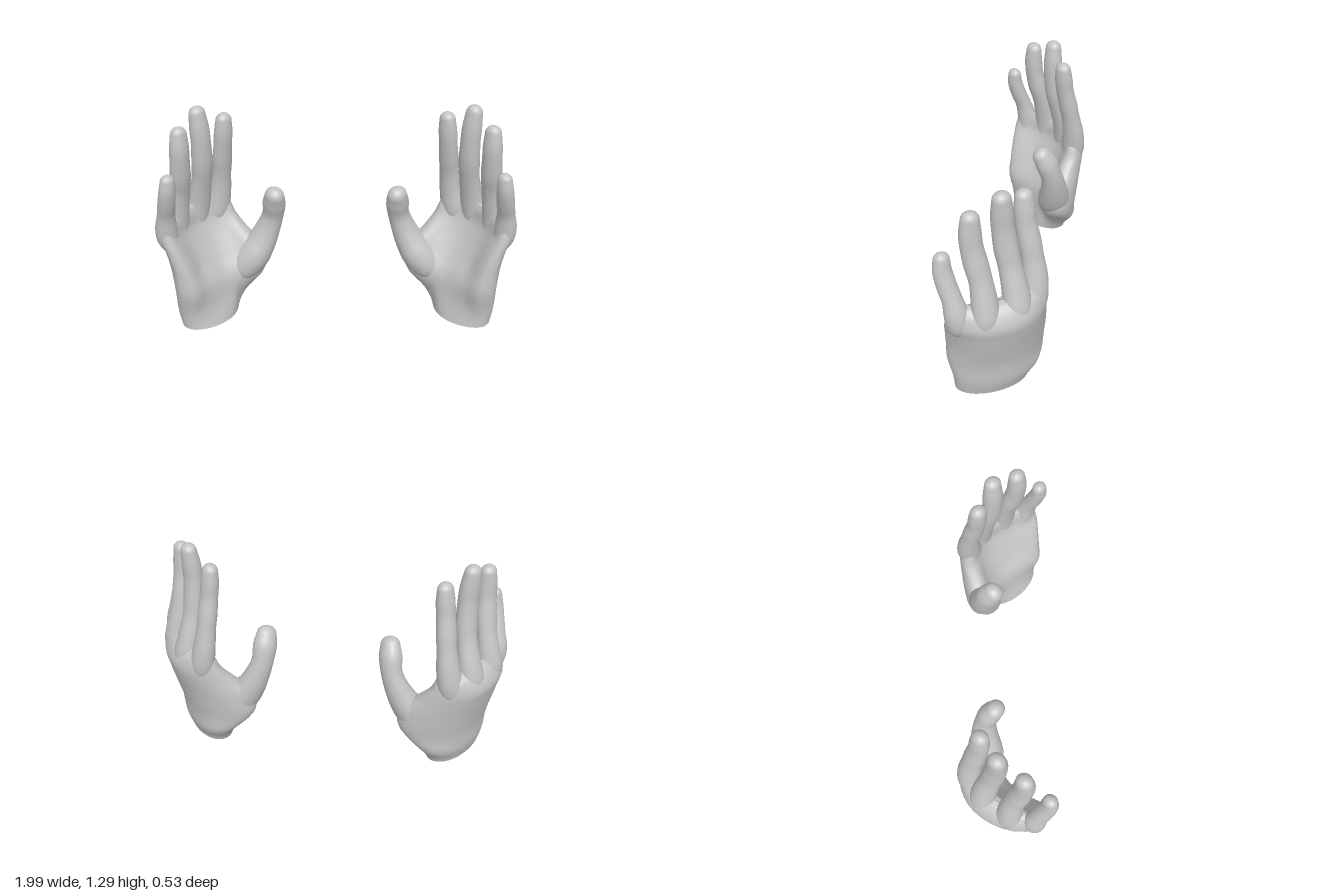
import * as THREE from 'three';

const skin = new THREE.MeshStandardMaterial({ color: 0xc4c4c4, side: THREE.DoubleSide });
skin.name = 'plain grey';

const V = (x, y, z) => new THREE.Vector3(x, y, z);

function center(ring) {
  return ring.reduce((s, p) => s.add(p), V(0, 0, 0)).divideScalar(ring.length);
}

// Skin closed rings of points into a smooth surface, closed by a point at the end.
function loft(name, rings, tip, side, hollow = false) {
  const n = rings[0].length;
  const pts = [...rings.flat(), tip];
  const last = pts.length - 1;
  const index = [];
  for (let i = 0; i < rings.length; i++) {
    for (let j = 0; j < n; j++) {
      const a = i * n + j, b = i * n + (j + 1) % n;
      if (i < rings.length - 1) index.push(a, b, a + n, b, b + n, a + n);
      else index.push(a, b, last);
    }
  }
  // Turn all faces outward (or inward for a hollow), whichever way the rings run
  const c = center(rings[0]);
  let volume = 0;
  for (let i = 0; i < index.length; i += 3) {
    const [a, b, d] = [0, 1, 2].map(k => pts[index[i + k]].clone().sub(c));
    volume += a.dot(b.cross(d));
  }
  if ((volume * side < 0) !== hollow) index.reverse();
  const geo = new THREE.BufferGeometry();
  geo.setAttribute('position', new THREE.Float32BufferAttribute(
    pts.flatMap(p => [p.x * side, p.y, p.z]), 3));
  geo.setIndex(index);
  geo.computeVertexNormals();
  const mesh = new THREE.Mesh(geo, skin);
  mesh.name = name;
  return mesh;
}

// A digit follows a centre line of [x, y, z, radius] and ends in a rounded tip.
// It is a little wider along the given direction.
function digit(name, line, wide, side) {
  const path = new THREE.CatmullRomCurve3(line.map(p => V(p[0], p[1], p[2])), false, 'catmullrom');
  const radii = new THREE.CatmullRomCurve3(line.map(p => V(p[3], 0, 0)), false, 'catmullrom');
  const rings = [];
  const ring = (mid, dir, r) => {
    const across = wide.clone().addScaledVector(dir, -dir.dot(wide)).normalize();
    const depth = dir.clone().cross(across);
    rings.push(Array.from({ length: 20 }, (_, j) => {
      const a = j / 20 * Math.PI * 2;
      return mid.clone().addScaledVector(across, 1.12 * r * Math.cos(a))
        .addScaledVector(depth, r * Math.sin(a));
    }));
  };
  const steps = 30;
  for (let i = 0; i <= steps; i++) {
    const t = i / steps;
    ring(path.getPoint(t), path.getTangent(t), radii.getPoint(t).x);
  }
  const end = path.getPoint(1), dir = path.getTangent(1), r = radii.getPoint(1).x;
  for (let i = 1; i < 6; i++) {
    const a = i / 6 * Math.PI / 2;
    ring(end.clone().addScaledVector(dir, r * Math.sin(a)), dir, r * Math.cos(a));
  }
  return loft(name, rings, end.clone().addScaledVector(dir, r), side);
}

// Palm levels: height, half thickness, then the [x, z] spine from little-finger edge to thumb edge.
const palmLevels = [
  [0.00, 0.120, [[.862, .205], [.80, .115], [.74, .03], [.685, -.055], [.625, -.14]]],
  [0.12, 0.120, [[.86, .215], [.805, .085], [.73, -.03], [.635, -.11], [.535, -.135]]],
  [0.26, 0.115, [[.84, .245], [.815, .075], [.71, -.075], [.57, -.122], [.42, -.105]]],
  [0.38, 0.096, [[.85, .24], [.852, .05], [.745, -.10], [.60, -.15], [.425, -.115]]],
  [0.50, 0.080, [[.89, .23], [.89, .04], [.79, -.12], [.665, -.175], [.53, -.155]]],
  [0.58, 0.071, [[.925, .22], [.913, .04], [.82, -.12], [.705, -.185], [.59, -.185]]],
  [0.65, 0.054, [[.94, .20], [.905, .04], [.81, -.115], [.71, -.185], [.62, -.19]]],
  [0.69, 0.028, [[.935, .17], [.89, .03], [.80, -.10], [.71, -.175], [.66, -.18]]],
];

function palm(side) {
  const n = 44;
  // One outline per level, walking round the spine; oval at the wrist and blunter above
  const outlines = palmLevels.map(([y, half, spine]) => {
    const curve = new THREE.CatmullRomCurve3(spine.map(([x, z]) => V(x, y, z)));
    const blunt = Math.max(0.68, 1 - 1.5 * y);
    return Array.from({ length: n }, (_, j) => {
      const a = j / n * Math.PI * 2;
      const t = (1 - Math.cos(a)) / 2;
      const d = curve.getTangent(t);
      const off = half * Math.sign(Math.sin(a)) * Math.abs(Math.sin(a)) ** blunt;
      const p = curve.getPoint(t).add(V(-d.z * off, 0, d.x * off));
      if (y === 0) p.y = Math.max(0, (p.x - 0.585) * 0.1); // slanted wrist cut
      return p;
    });
  });
  // Smooth lengthwise through the outlines
  const lanes = outlines[0].map((_, j) => new THREE.CatmullRomCurve3(outlines.map(o => o[j])));
  const steps = 42;
  const rings = Array.from({ length: steps + 1 }, (_, i) => lanes.map(l => l.getPoint(i / steps)));
  // Draw the top in along its own spine so that the cap stays between the fingers
  const top = rings[steps];
  rings.push(top.map((p, j) => p.clone().lerp(top[(n - j) % n], 0.5).setY(0.695)));
  // The wrist ends in a shallow dish
  const wrist = rings[0], mid = center(wrist);
  const dish = wrist.map(p => p.clone().lerp(mid, 0.4).add(V(0, 0.035, 0)));
  return [
    loft('palm', rings, V(.83, .695, -.06), side),
    loft('wristHollow', [wrist, dish], mid.clone().add(V(0, 0.045, 0)), side, true),
  ];
}

// Centre lines start buried in the palm
const digits = {
  thumb: [[.60, .22, -.11, .06], [.55, .27, -.105, .088], [.485, .35, -.105, .092], [.43, .44, -.112, .078],
    [.39, .53, -.112, .065], [.364, .61, -.102, .058], [.354, .69, -.078, .062], [.348, .747, -.05, .053]],
  indexFinger: [[.715, .50, -.175, .045], [.695, .60, -.187, .066], [.672, .72, -.188, .061], [.655, .84, -.172, .052],
    [.645, .93, -.155, .053], [.634, 1.03, -.135, .049], [.626, 1.11, -.127, .049], [.62, 1.18, -.122, .042]],
  middleFinger: [[.80, .50, -.105, .045], [.805, .60, -.122, .068], [.782, .72, -.11, .062], [.757, .85, -.08, .054],
    [.746, .95, -.06, .056], [.742, 1.07, -.045, .052], [.745, 1.16, -.042, .051], [.752, 1.247, -.042, .043]],
  ringFinger: [[.885, .50, .03, .045], [.902, .60, .015, .066], [.885, .72, .024, .06], [.864, .83, .043, .053],
    [.852, .92, .066, .055], [.844, 1.02, .086, .051], [.84, 1.10, .092, .05], [.838, 1.179, .09, .042]],
  littleFinger: [[.90, .50, .14, .035], [.932, .58, .145, .055], [.937, .66, .153, .056], [.928, .74, .172, .047],
    [.914, .82, .2, .046], [.902, .90, .22, .043], [.895, .963, .222, .037]],
};

export function createModel() {
  const group = new THREE.Group();
  group.name = 'pairOfHands';
  for (const side of [1, -1]) {
    const hand = new THREE.Group();
    hand.name = side > 0 ? 'leftHand' : 'rightHand';
    hand.add(...palm(side));
    for (const [name, line] of Object.entries(digits)) {
      const wide = name === 'thumb' ? V(0.7, 0, -0.7) : V(0.6, 0, 0.8);
      hand.add(digit(name, line, wide, side));
    }
    group.add(hand);
  }
  return group;
}
